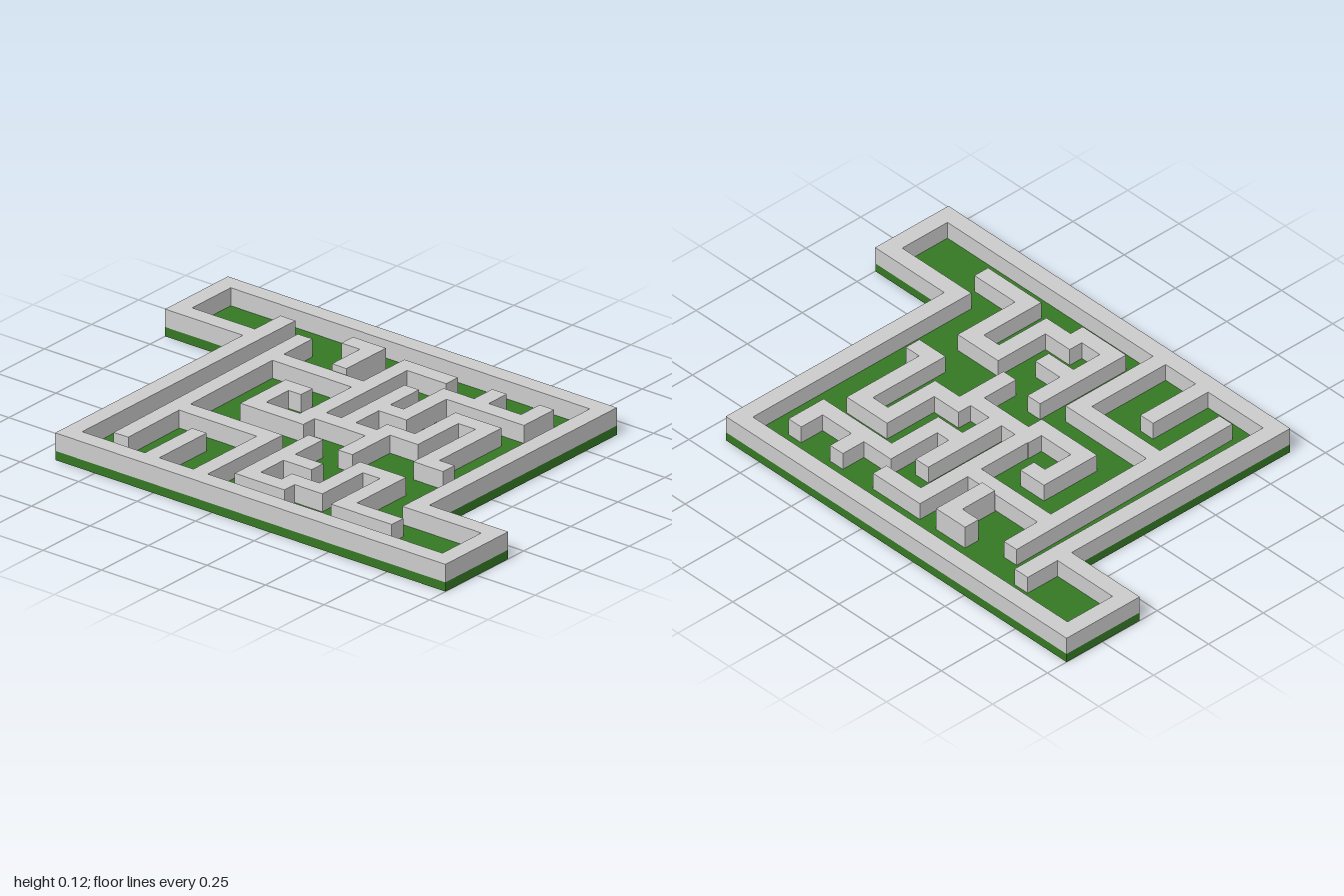
import * as THREE from 'three';

const BASE = 0.034, TOP = 0.1, T = 0.062;

export function createModel() {
  const model = new THREE.Group();
  const grey = new THREE.MeshStandardMaterial({ color: 0xcccccc });
  const green = new THREE.MeshStandardMaterial({ color: 0x357724 });

  // Green slab: square field with an entrance and an exit bay
  const outline = [
    [-0.665, -0.667], [0.33, -0.667], [0.33, -1], [0.663, -1],
    [0.663, 0.663], [-0.333, 0.663], [-0.333, 1], [-0.665, 1],
  ];
  const shape = new THREE.Shape(outline.map(([x, z]) => new THREE.Vector2(x, -z)));
  const slab = new THREE.ExtrudeGeometry(shape, { depth: BASE, bevelEnabled: false });
  slab.rotateX(-Math.PI / 2);
  const floor = new THREE.Mesh(slab, green);
  floor.name = 'grassBase';
  model.add(floor);

  // A wall follows a centre line of [x, z] points, one square-ended box per leg
  function addWall(name, points, top = TOP, width = T) {
    const wall = new THREE.Group();
    wall.name = name;
    for (let i = 1; i < points.length; i++) {
      const [x0, z0] = points[i - 1], [x1, z1] = points[i];
      const length = Math.hypot(x1 - x0, z1 - z0) + width;
      const leg = new THREE.Mesh(new THREE.BoxGeometry(length, top - BASE, width), grey);
      leg.name = name + 'Leg' + i;
      leg.position.set((x0 + x1) / 2, (BASE + top) / 2, (z0 + z1) / 2);
      leg.rotation.y = -Math.atan2(z1 - z0, x1 - x0);
      wall.add(leg);
    }
    model.add(wall);
  }

  // Perimeter, open at the back right and the front left
  addWall('outerWallLeft', [
    [0.498, -0.636], [-0.634, -0.636], [-0.634, 0.968], [-0.364, 0.968], [-0.364, 0.632],
  ], TOP, 0.064);
  addWall('outerWallRight', [
    [0.362, -0.699], [0.362, -0.968], [0.631, -0.968], [0.631, 0.631], [-0.364, 0.631],
  ], TOP, 0.064);

  // Inner maze walls
  const inner = {
    backBar: [[-0.51, -0.488], [0.422, -0.5]],
    backLeftHook: [[-0.235, -0.49], [-0.235, -0.098], [-0.6, -0.098]],
    leftStub: [[-0.6, -0.305], [-0.382, -0.305]],
    centreHook: [
      [0.115, -0.252], [0.115, -0.305], [-0.065, -0.305], [-0.065, -0.097],
      [0.486, -0.097], [0.486, 0.07],
    ],
    backRightPost: [[0.268, -0.49], [0.268, -0.1]],
    centreStem: [[-0.005, -0.1], [-0.005, 0.18]],
    centreSpiral: [
      [-0.15, 0.181], [0.05, 0.181], [0.05, 0.3], [0.265, 0.3],
      [0.265, 0.435], [-0.065, 0.435], [-0.065, 0.5],
    ],
    rightBar: [[0, 0.03], [0.329, 0.03]],
    rightZigzag: [
      [0.178, 0.03], [0.178, 0.148], [0.39, 0.148], [0.39, 0.48], [0.488, 0.48],
    ],
    rightStub: [[0.39, 0.279], [0.486, 0.279]],
    leftZigzag: [
      [-0.18, 0.03], [-0.51, 0.03], [-0.51, 0.18], [-0.455, 0.18], [-0.455, 0.298],
      [-0.239, 0.298], [-0.239, 0.433], [-0.5, 0.433], [-0.5, 0.631],
    ],
    leftTooth: [[-0.328, 0.03], [-0.328, 0.15]],
  };
  for (const [name, points] of Object.entries(inner)) addWall(name, points);

  // Slightly taller corner piece
  addWall('raisedCorner', [[0.335, -0.235], [0.483, -0.235], [0.483, -0.314]], 0.121);

  return model;
}
